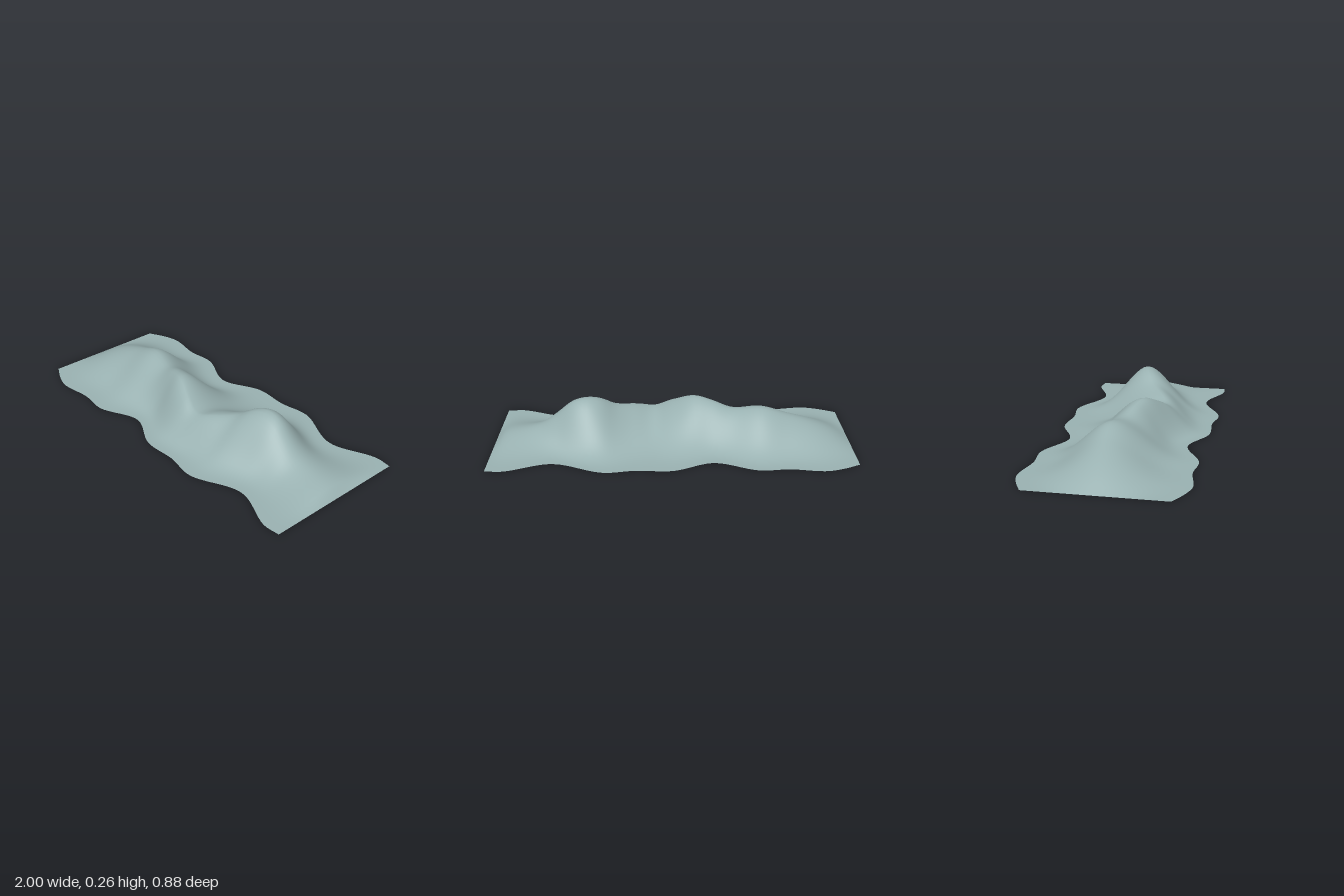
import * as THREE from 'three';

// Smooth curve through [x, value] pairs, read as a function of x
function curveThrough(points) {
  return (x) => {
    let i = 0;
    while (i < points.length - 2 && x > points[i + 1][0]) i++;
    const slope = (k) => {
      const a = points[Math.max(k - 1, 0)], b = points[Math.min(k + 1, points.length - 1)];
      return (b[1] - a[1]) / (b[0] - a[0]);
    };
    const [x0, y0] = points[i], [x1, y1] = points[i + 1];
    const d = x1 - x0, t = (x - x0) / d, t2 = t * t, t3 = t2 * t;
    return (2 * t3 - 3 * t2 + 1) * y0 + (t3 - 2 * t2 + t) * d * slope(i)
      + (3 * t2 - 2 * t3) * y1 + (t3 - t2) * d * slope(i + 1);
  };
}

// Half width of the wavy footprint
const halfWidth = curveThrough([[-1, 0.36], [-0.9, 0.41], [-0.8, 0.435], [-0.62, 0.41], [-0.45, 0.42],
  [-0.22, 0.33], [0, 0.42], [0.2, 0.415], [0.38, 0.435], [0.65, 0.33], [0.9, 0.415], [1, 0.41]]);

// Height of the crest
const crestHeight = curveThrough([[-1, 0], [-0.9, 0.06], [-0.8, 0.105], [-0.65, 0.155], [-0.5, 0.2],
  [-0.34, 0.18], [-0.22, 0.215], [-0.12, 0.23], [0, 0.185], [0.1, 0.14], [0.2, 0.16], [0.32, 0.192],
  [0.4, 0.24], [0.48, 0.257], [0.56, 0.235], [0.65, 0.16], [0.73, 0.1], [0.8, 0.075], [0.95, 0.042], [1, 0]]);

// Winding line of the crest
const crestZ = curveThrough([[-1, 0], [-0.75, -0.02], [-0.5, -0.03], [-0.3, 0.02], [-0.1, 0.08],
  [0.1, 0.15], [0.22, 0.11], [0.36, 0.02], [0.5, -0.02], [0.7, 0.0], [1, 0]]);

// Point on the slope: t runs from -1 (back rim) over 0 (crest) to 1 (front rim)
function slopePoint(x, t) {
  const ridge = crestZ(x), edge = Math.sign(t) * halfWidth(x), a = Math.abs(t);
  const y = Math.max(0, crestHeight(x)) * Math.pow(Math.max(0, 1 - Math.pow(a, 1.85)), 3.6);
  return [x, y, ridge + (edge - ridge) * a];
}

// Sheet of quads facing up, or down when flipped
function sheet(nx, nz, pointAt, flipped) {
  const positions = [], index = [];
  for (let i = 0; i <= nx; i++) {
    for (let j = 0; j <= nz; j++) positions.push(...pointAt(-1 + (2 * i) / nx, -1 + (2 * j) / nz));
  }
  for (let i = 0; i < nx; i++) {
    for (let j = 0; j < nz; j++) {
      const a = i * (nz + 1) + j, b = a + 1, c = a + nz + 1, d = c + 1;
      if (flipped) index.push(a, d, b, a, c, d);
      else index.push(a, b, d, a, d, c);
    }
  }
  const geometry = new THREE.BufferGeometry();
  geometry.setAttribute('position', new THREE.Float32BufferAttribute(positions, 3));
  geometry.setIndex(index);
  geometry.computeVertexNormals();
  return geometry;
}

export function createModel() {
  const group = new THREE.Group();
  group.name = 'mountainRange';
  const stone = new THREE.MeshStandardMaterial({ color: 0x9ab2b2, side: THREE.DoubleSide });
  stone.name = 'grey green stone';

  // Rolling slopes with a winding crest
  const slopes = new THREE.Mesh(sheet(80, 32, slopePoint, false), stone);
  slopes.name = 'mountainSlopes';
  group.add(slopes);

  // Underside closing the hollow just inside the rim, reaching the corners at both ends
  const underside = new THREE.Mesh(sheet(80, 1, (x, t) => {
    const inset = 0.25 * Math.min(1, (1 - Math.abs(x)) / 0.2);
    return slopePoint(x, t * (1 - inset));
  }, true), stone);
  underside.name = 'underside';
  group.add(underside);
  return group;
}
